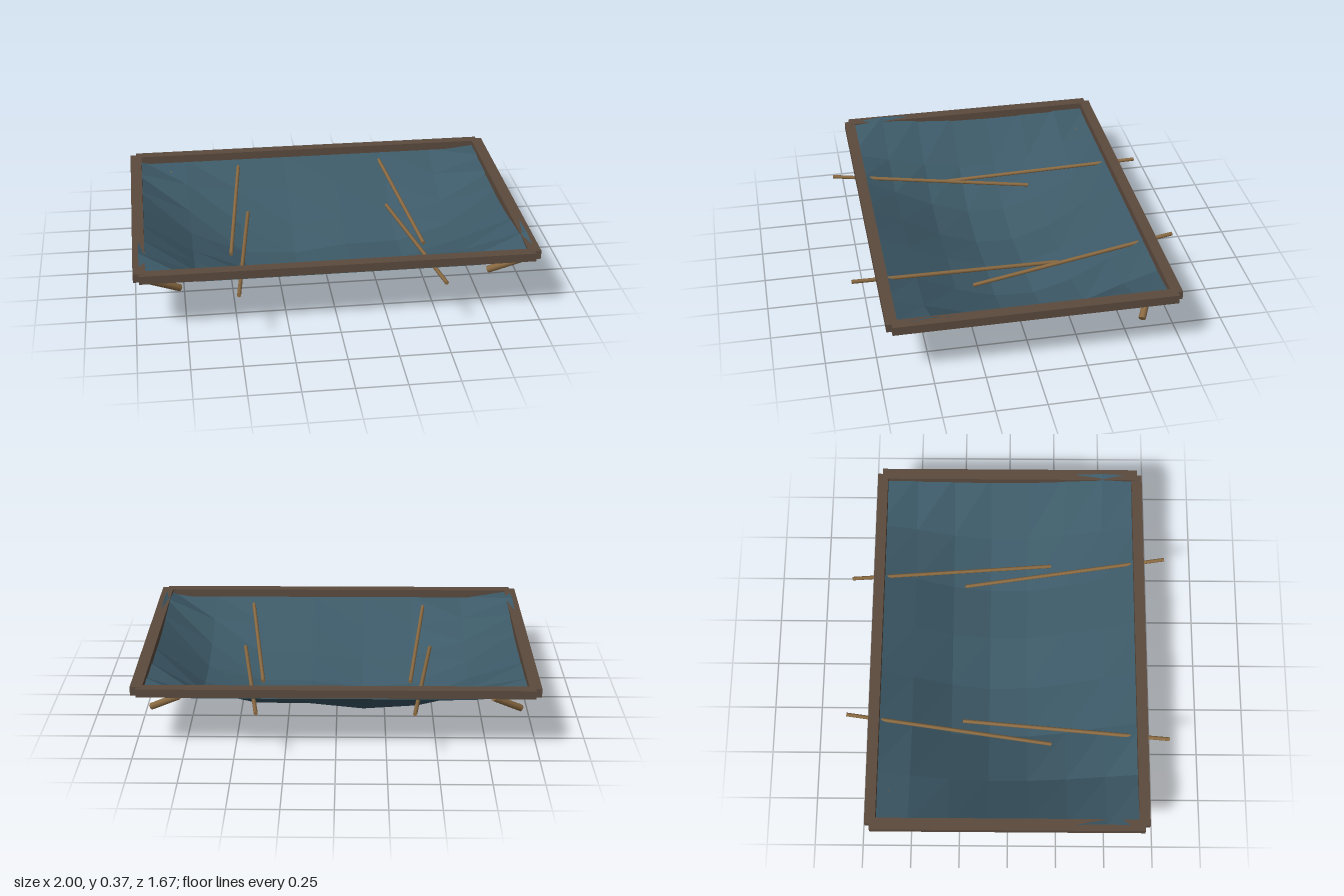
import * as THREE from 'three';

export function createModel() {
  const model = new THREE.Group();
  const cloth = new THREE.MeshStandardMaterial({ color: 0x3d5a68, side: THREE.DoubleSide });
  cloth.name = 'blue cloth';
  const darkWood = new THREE.MeshStandardMaterial({ color: 0x5c4b3e });
  darkWood.name = 'dark wood';
  const lightWood = new THREE.MeshStandardMaterial({ color: 0x8a6a42 });
  lightWood.name = 'light wood';

  const add = (name, geometry, material) => {
    const mesh = new THREE.Mesh(geometry, material);
    mesh.name = name;
    model.add(mesh);
    return mesh;
  };

  // Rectangular frame: long rails front and back, short rails at the sides
  for (const s of [-1, 1]) {
    add(s > 0 ? 'frontRail' : 'backRail', new THREE.BoxGeometry(1.94, 0.043, 0.055), darkWood)
      .position.set(0, 0.3365, s * 0.6875);
    add(s > 0 ? 'leftRail' : 'rightRail', new THREE.BoxGeometry(0.06, 0.045, 1.38), darkWood)
      .position.set(s * 0.97, 0.3365, 0);
  }

  // Sagging cloth: a 7 x 7 grid lowered by one sag profile across and one along
  const sagX = [0, 0.5, 0.92, 1, 0.88, 0.87, 0.6, 0];
  const sagZ = [0, 0.36, 0.72, 0.97, 1, 0.78, 0.36, 0];
  const sideEdge = [0.35, 0.372, 0.355, 0.34, 0.335, 0.335, 0.335, 0.335];
  let sheet = new THREE.PlaneGeometry(1.94, 1.4, 7, 7).rotateX(Math.PI / 2);
  const pos = sheet.attributes.position;
  for (let i = 0; i < pos.count; i++) {
    const col = i % 8, row = Math.floor(i / 8);
    const onSide = col === 0 || col === 7;
    pos.setY(i, onSide ? sideEdge[row] : 0.305 - 0.305 * sagX[col] * sagZ[row]);
  }
  sheet = sheet.toNonIndexed();
  sheet.computeVertexNormals();
  add('saggingCloth', sheet, cloth);

  // Round stick between two points
  const up = new THREE.Vector3(0, 1, 0);
  const stick = (name, a, b, radius) => {
    const from = new THREE.Vector3(...a), to = new THREE.Vector3(...b);
    const dir = to.clone().sub(from);
    const geometry = new THREE.CylinderGeometry(radius, radius, dir.length(), 8);
    const mesh = add(name, geometry, lightWood);
    mesh.position.copy(from).add(to).multiplyScalar(0.5);
    mesh.quaternion.setFromUnitVectors(up, dir.normalize());
  };

  // Two slim poles and two stubby braces per side, mirrored
  for (const s of [-1, 1]) {
    const side = s > 0 ? 'left' : 'right';
    stick(side + 'BackPole', [s * 0.38, 0.29, -0.835], [s * 0.502, 0.19, 0.225], 0.01);
    stick(side + 'FrontPole', [s * 0.38, 0.19, -0.235], [s * 0.502, 0.29, 0.83], 0.01);
    stick(side + 'FrontBrace', [s * 0.92, 0.275, 0.61], [s * 0.775, 0.185, 0.535], 0.018);
    stick(side + 'BackBrace', [s * 0.775, 0.275, -0.61], [s * 0.92, 0.185, -0.535], 0.018);
  }
  return model;
}
